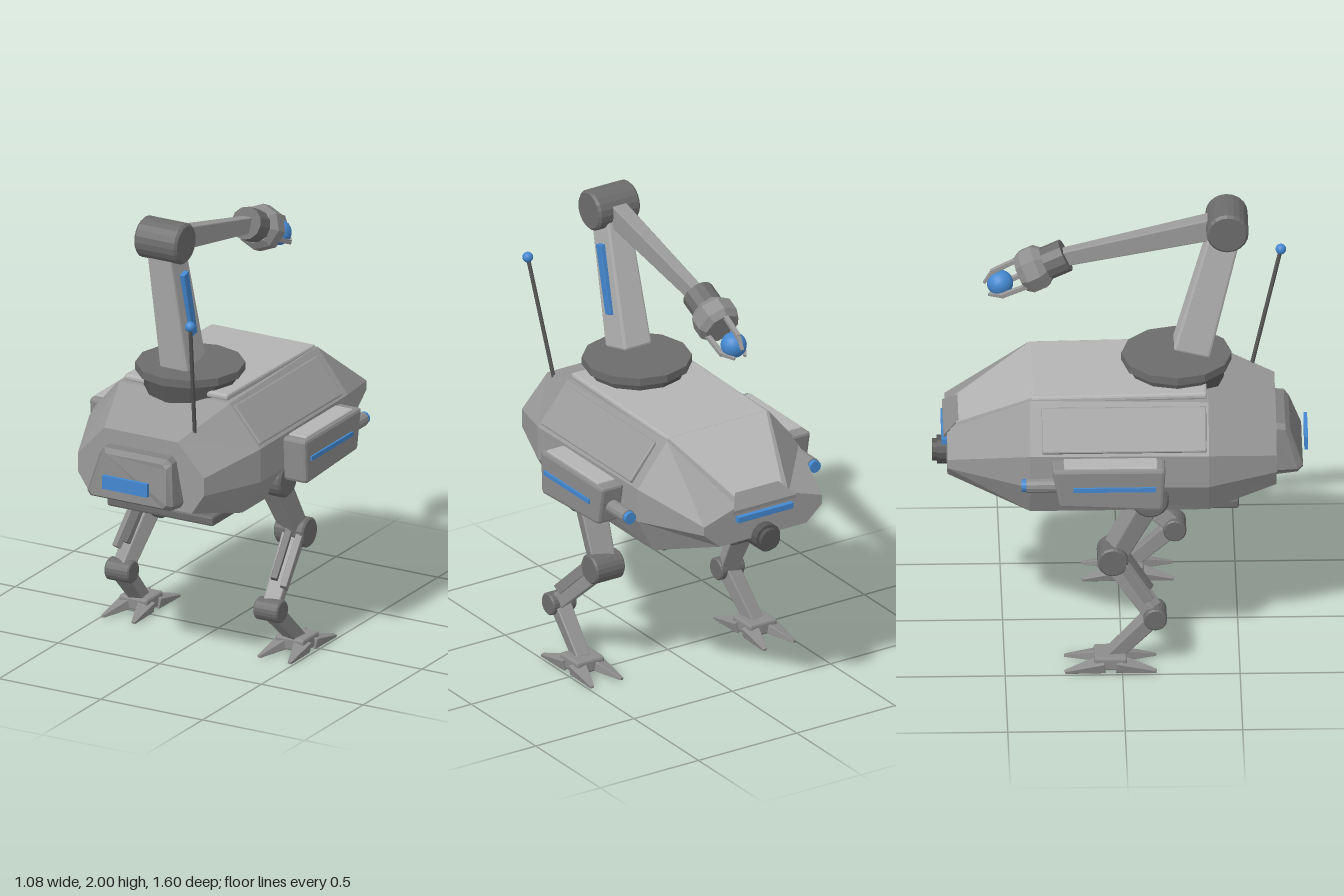
import * as THREE from 'three';
import { RoundedBoxGeometry } from 'three/addons/geometries/RoundedBoxGeometry.js';

const paint = color => new THREE.MeshStandardMaterial({ color, flatShading: true });
const shell = paint(0x9a9a9a), light = paint(0xb4b4b4), mid = paint(0x8c8c8c);
const joint = paint(0x6c6c6c), dark = paint(0x565656), blue = paint(0x4488d0);
const blueSmooth = new THREE.MeshStandardMaterial({ color: 0x4488d0 });

export function createModel() {
  const model = new THREE.Group();

  function add(name, geo, pos, mat, parent = model) {
    const m = new THREE.Mesh(geo, mat);
    m.name = name;
    m.position.set(...pos);
    parent.add(m);
    return m;
  }
  const rbox = (w, h, d, r = 0.01) => new RoundedBoxGeometry(w, h, d, 1, r);

  // Box running from a to b, narrowing to the scale t at b
  function beam(name, a, b, w, d, t, mat, parent = model) {
    const A = new THREE.Vector3(...a), B = new THREE.Vector3(...b);
    const dir = B.clone().sub(A), len = dir.length();
    const geo = rbox(w, len, d, Math.min(w, d) * 0.08);
    const p = geo.attributes.position;
    for (let i = 0; i < p.count; i++) {
      const s = 1 + (t - 1) * (p.getY(i) / len + 0.5);
      p.setX(i, p.getX(i) * s);
      p.setZ(i, p.getZ(i) * s);
    }
    const m = add(name, geo, A.add(B).multiplyScalar(0.5).toArray(), mat, parent);
    m.quaternion.setFromUnitVectors(new THREE.Vector3(0, 1, 0), dir.normalize());
    return m;
  }

  // Bevelled drum lying along x
  function drum(name, pos, r, w) {
    const h = w / 2, b = r * 0.12;
    const prof = [[0, -h], [r - b, -h], [r, b - h], [r, h - b], [r - b, h], [0, h]];
    const geo = new THREE.LatheGeometry(prof.map(q => new THREE.Vector2(...q)), 20);
    add(name, geo, pos, joint).rotation.z = Math.PI / 2;
  }

  // Closed loft through mirrored sections, listed from +z to -z; each half profile runs from top to bottom
  function loft(sections) {
    const rings = sections.map(([z, half]) => {
      const side = s => half.map(([x, y, dz = 0]) => [s * x, y, z + dz]);
      return [...side(-1), ...side(1).reverse()];
    });
    const v = [], n = rings[0].length;
    for (let i = 0; i < rings.length - 1; i++) {
      const A = rings[i], B = rings[i + 1];
      for (let j = 0; j < n; j++) {
        const k = (j + 1) % n;
        v.push(A[j], B[j], A[k], B[j], B[k], A[k]);
      }
    }
    const F = rings[0], E = rings[rings.length - 1];
    for (let j = 1; j < n - 1; j++) v.push(F[0], F[j], F[j + 1], E[0], E[j + 1], E[j]);
    const geo = new THREE.BufferGeometry();
    geo.setAttribute('position', new THREE.Float32BufferAttribute(v.flat(), 3));
    geo.computeVertexNormals();
    return geo;
  }

  // Faceted hull
  add('hull', loft([
    [0.66, [[0.18, 1.09], [0.31, 0.95], [0.31, 0.87], [0.25, 0.78]]],
    [0.37, [[0.27, 1.19], [0.42, 1.01], [0.42, 0.86], [0.33, 0.705]]],
    [-0.39, [[0.26, 1.2], [0.41, 1.01], [0.41, 0.86], [0.33, 0.705]]],
    [-0.74, [[0.13, 0.995], [0.3, 0.94], [0.3, 0.9], [0.22, 0.83]]],
  ]), [0, 0, 0], shell);
  add('topPanel', rbox(0.51, 0.03, 0.75), [0, 1.203, -0.01], light).rotation.x = -0.015;
  add('nosePlate', loft([
    [-0.38, [[0.25, 1.21], [0.25, 1.18]]],
    [-0.7, [[0.12, 1.026], [0.12, 0.99]]],
  ]), [0, 0, 0], light);
  add('bellyPlate', rbox(0.52, 0.045, 0.86), [0, 0.69, 0.07], joint);

  // Housing with a light bar on the +z end
  add('housing', loft([
    [0.76, [[0.14, 1.0, -0.04], [0.16, 0.98, -0.035], [0.19, 0.84, 0.015], [0.175, 0.825, 0.015]]],
    [0.72, [[0.155, 1.02, -0.02], [0.175, 1.0, -0.02], [0.21, 0.83, 0.03], [0.195, 0.81, 0.03]]],
    [0.6, [[0.155, 1.03], [0.175, 1.01], [0.21, 0.82], [0.195, 0.79]]],
  ]), [0, 0, 0], paint(0x808080));
  add('lightBar', new THREE.BoxGeometry(0.22, 0.06, 0.016), [0, 0.9, 0.79], blue);

  // Visor and camera eye on the -z end
  add('visorHood', loft([
    [-0.69, [[0.11, 1.035], [0.11, 1.0]]],
    [-0.755, [[0.16, 0.985], [0.16, 0.97]]],
  ]), [0, 0, 0], mid);
  add('visorLight', new THREE.BoxGeometry(0.28, 0.025, 0.04), [0, 0.94, -0.742], blue);
  for (const [name, r, z, len] of [['eyeBarrel', 0.062, -0.73, 0.1], ['eyeRim', 0.048, -0.785, 0.03]]) {
    add(name, new THREE.CylinderGeometry(r, r, len, 14), [0, 0.83, z], dark).rotation.x = Math.PI / 2;
  }

  // Side panels, pods and legs
  for (const s of [1, -1]) {
    const side = s > 0 ? 'left' : 'right';
    const panel = add(side + 'Panel', rbox(0.2, 0.025, 0.7, 0.006), [s * 0.343, 1.098, 0.01], shell);
    panel.rotation.z = -s * 0.876;

    const podGeo = rbox(0.115, 0.2, 0.485, 0.015);
    const p = podGeo.attributes.position;
    for (let i = 0; i < p.count; i++) {
      const low = 0.5 - p.getY(i) / 0.2, z = p.getZ(i);
      p.setZ(i, z + low * (z < 0 ? 0.035 : -0.01));
      if (z < 0) p.setY(i, p.getY(i) + low * 0.02);
    }
    add(side + 'Pod', podGeo, [s * 0.475, 0.905, -0.06], mid);
    add(side + 'PodLid', rbox(0.09, 0.02, 0.4, 0.006), [s * 0.475, 1.003, -0.05], light);
    add(side + 'PodMount', new THREE.BoxGeometry(0.08, 0.1, 0.25), [s * 0.41, 0.92, -0.04], joint);
    add(side + 'PodLight', new THREE.BoxGeometry(0.015, 0.02, 0.35), [s * 0.534, 0.915, -0.035], blue);
    for (const [name, r, z, len, mat] of [['PodBarrel', 0.032, -0.34, 0.14, mid], ['PodMuzzle', 0.027, -0.415, 0.03, blue]]) {
      add(side + name, new THREE.CylinderGeometry(r, r, len, 12), [s * 0.47, 0.905, z], mat).rotation.x = Math.PI / 2;
    }

    // Leg: the right one stands a little farther back
    const az = s > 0 ? 0.24 : 0.14, fz = s > 0 ? 0.04 : -0.05;
    const hip = [s * 0.33, 0.79, 0.12], knee = [s * 0.355, 0.5, -0.04];
    const ankle = [s * 0.395, 0.235, az], foot = [s * 0.41, 0.045, fz];
    drum(side + 'Hip', [s * 0.36, 0.79, 0.12], 0.08, 0.11);
    beam(side + 'Thigh', hip, knee, 0.12, 0.1, 0.85, mid);
    drum(side + 'Knee', knee, 0.066, 0.145);
    beam(side + 'Shin', knee, ankle, 0.09, 0.085, 0.8, shell);
    const at = (t, dx, dy, dz) => knee.map((k, i) => k + (ankle[i] - k) * t + [s * dx, dy, dz][i]);
    beam(side + 'ShinPlate', at(0.1, 0.045, 0.02, 0.02), at(0.75, 0.045, 0.02, 0.02), 0.03, 0.045, 1, mid);
    beam(side + 'Piston', at(0.05, 0, 0.04, 0.035), at(0.7, 0, 0.04, 0.035), 0.03, 0.025, 1, joint);
    drum(side + 'Ankle', ankle, 0.05, 0.12);
    beam(side + 'Metatarsal', ankle, foot, 0.075, 0.07, 0.85, mid);
    add(side + 'FootPad', rbox(0.14, 0.06, 0.14), [s * 0.41, 0.038, fz], mid);
    for (const dx of [-1, 1]) for (const dz of [-1, 1]) {
      beam(side + 'Toe', [s * 0.41 + dx * 0.045, 0.03, fz + dz * 0.03],
        [s * 0.41 + dx * 0.075, 0.008, fz + dz * 0.195], 0.075, 0.05, 0.22, mid);
    }
  }

  // Turret
  add('turretBase', new THREE.CylinderGeometry(0.21, 0.2, 0.1, 12), [0, 1.21, 0.24], dark);
  add('turretRing', new THREE.CylinderGeometry(0.235, 0.235, 0.035, 12), [0, 1.27, 0.24], joint);

  // Arm
  const elbow = [0, 1.91, 0.455];
  beam('upperArm', [0, 1.31, 0.303], elbow, 0.14, 0.16, 0.82, light);
  beam('armLight', [0.068, 1.46, 0.34], [0.068, 1.76, 0.415], 0.03, 0.04, 1, blue);
  drum('elbow', elbow, 0.09, 0.21);
  beam('forearm', elbow, [0, 1.75, -0.26], 0.075, 0.105, 0.65, shell);

  // Gripper, pointing along its own +y
  const grip = new THREE.Group();
  grip.name = 'gripper';
  grip.position.set(0, 1.755, -0.25);
  grip.rotation.x = -2.009;
  model.add(grip);
  add('wrist', new THREE.CylinderGeometry(0.072, 0.072, 0.1, 12), [0, 0.03, 0], joint, grip);
  const cup = [[0, 0.07], [0.075, 0.07], [0.1, 0.1], [0.1, 0.16], [0.08, 0.19], [0, 0.19]];
  add('cup', new THREE.LatheGeometry(cup.map(q => new THREE.Vector2(...q)), 8), [0, 0, 0], mid, grip);
  add('orb', new THREE.SphereGeometry(0.056, 20, 14), [0, 0.288, 0], blueSmooth, grip);
  for (let i = 0; i < 3; i++) {
    const a = i * Math.PI * 2 / 3;
    const q = (r, y) => [Math.sin(a) * r, y, Math.cos(a) * r];
    beam('finger', q(0.07, 0.17), q(0.064, 0.3), 0.02, 0.02, 1, shell, grip);
    beam('fingerTip', q(0.065, 0.29), q(0.03, 0.35), 0.02, 0.02, 0.6, shell, grip);
  }

  // Antenna
  const root = new THREE.Vector3(0.21, 1.11, 0.565), tip = new THREE.Vector3(0.26, 1.64, 0.69);
  add('antennaRod', new THREE.TubeGeometry(new THREE.LineCurve3(root, tip), 1, 0.009, 8), [0, 0, 0], dark);
  add('antennaTip', new THREE.SphereGeometry(0.023, 16, 12), tip.toArray(), blueSmooth);

  return model;
}
